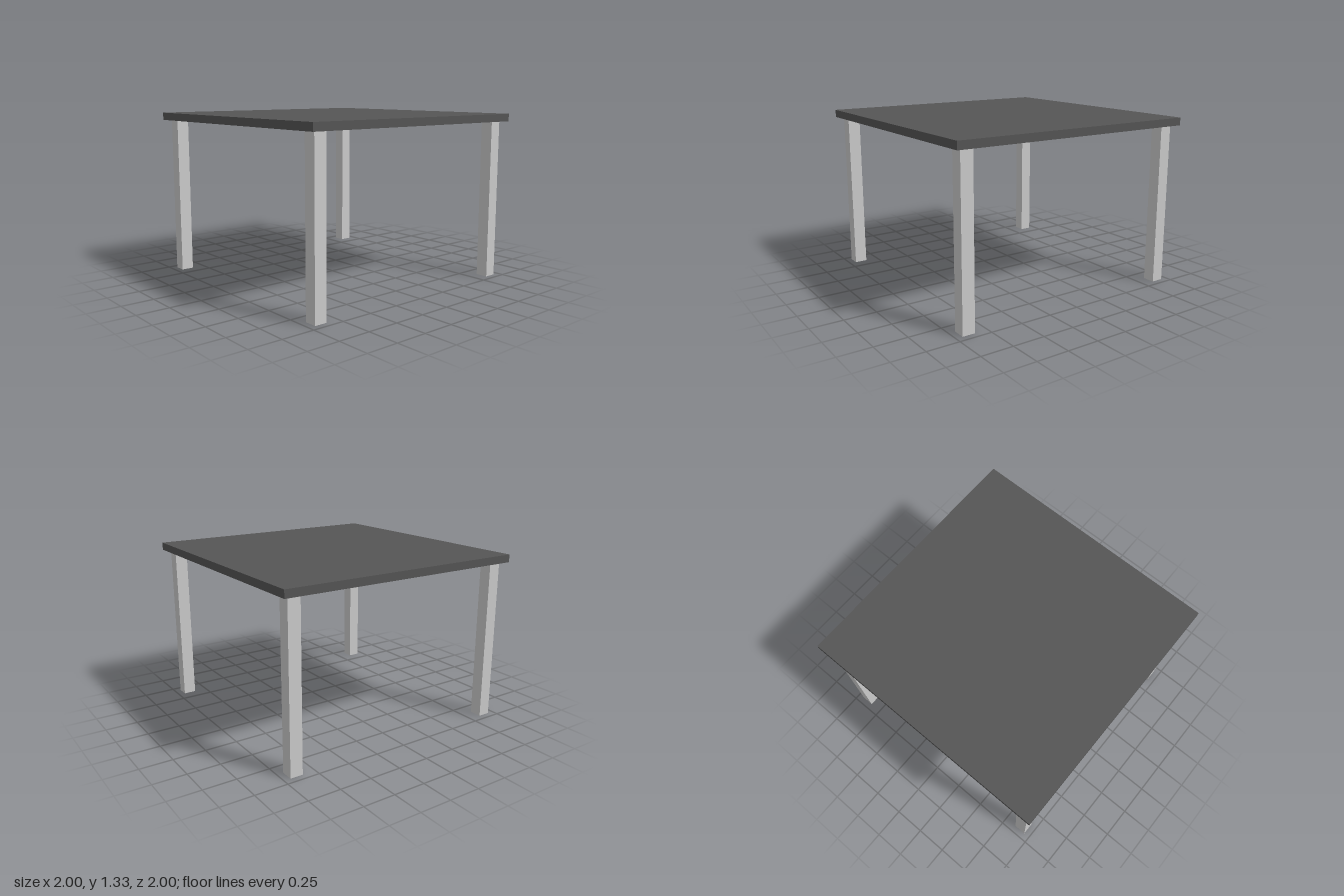
import * as THREE from 'three';

const HEIGHT = 1.325, THICKNESS = 0.06, LEG = 0.097, LEG_OFFSET = 0.9;

function addBox(parent, name, size, position, material) {
  const mesh = new THREE.Mesh(new THREE.BoxGeometry(...size), material);
  mesh.name = name;
  mesh.position.set(...position);
  parent.add(mesh);
}

export function createModel() {
  const table = new THREE.Group();
  table.name = 'table';
  const topMaterial = new THREE.MeshStandardMaterial({ color: 0x555555 });
  const legMaterial = new THREE.MeshStandardMaterial({ color: 0xcccccc });

  // Square tabletop
  addBox(table, 'tabletop', [2, THICKNESS, 2], [0, HEIGHT - THICKNESS / 2, 0], topMaterial);

  // Four square legs, set in slightly from the corners
  const legHeight = HEIGHT - THICKNESS;
  for (const [side, x] of [['Left', 1], ['Right', -1]]) {
    for (const [end, z] of [['front', 1], ['back', -1]]) {
      addBox(table, `${end}${side}Leg`, [LEG, legHeight, LEG],
        [x * LEG_OFFSET, legHeight / 2, z * LEG_OFFSET], legMaterial);
    }
  }
  return table;
}
